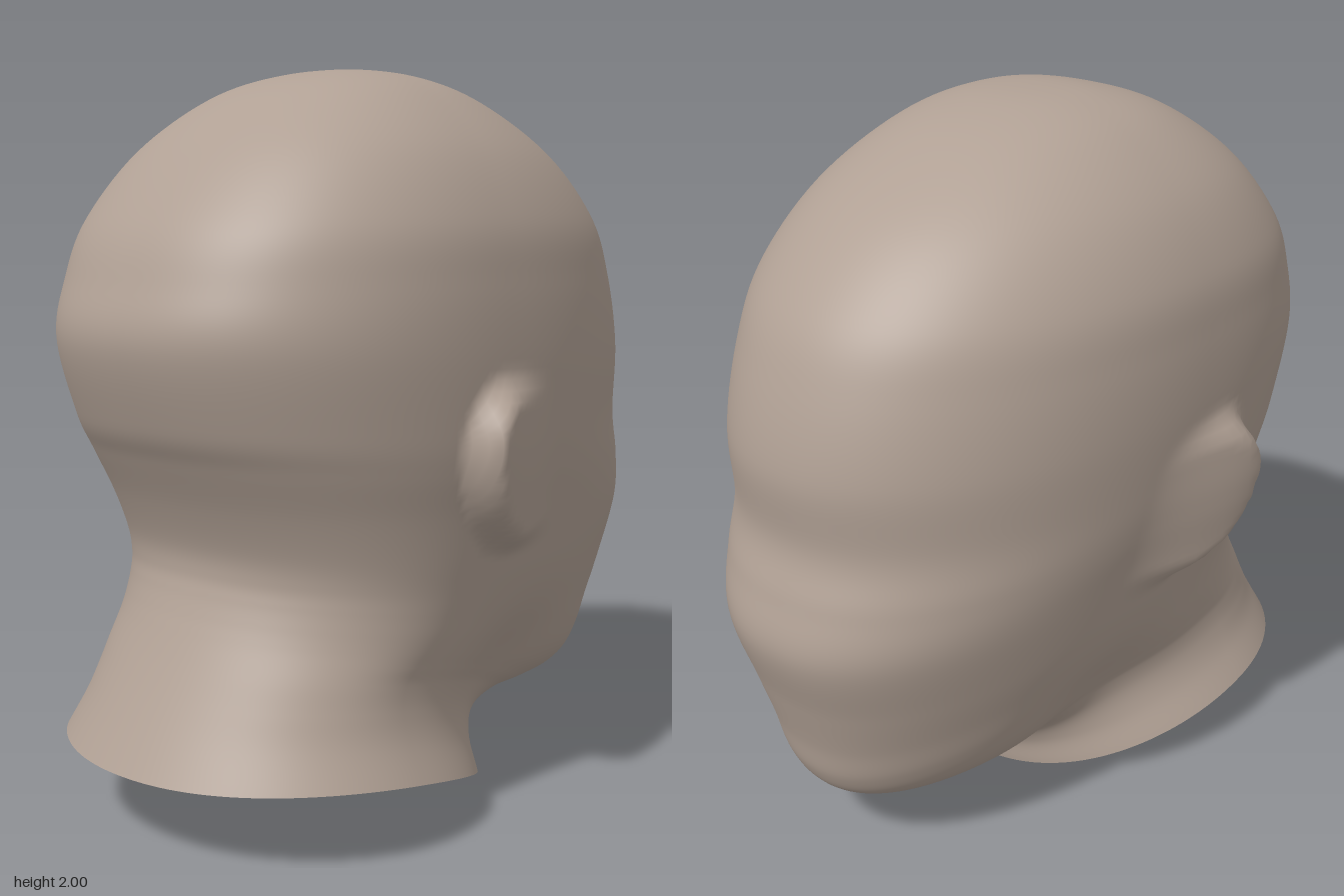
import * as THREE from 'three';

// Tilted rings of the head, from the neck opening to the crown:
// [nape z, nape y, face z, face y, half width, z of widest point, lift of the sides]
const RINGS = [
  [0.94, 0.22, -0.17, 0.00, 0.560, 0.42, 0.072],
  [0.883, 0.32, -0.19, 0.08, 0.510, 0.42, 0.07],
  [0.838, 0.40, -0.25, 0.14, 0.487, 0.42, 0.065],
  [0.80, 0.47, -0.38, 0.163, 0.480, 0.40, 0.065],
  [0.774, 0.52, -0.52, 0.163, 0.484, 0.36, 0.065],
  [0.754, 0.56, -0.67, 0.175, 0.490, 0.32, 0.06],
  [0.735, 0.60, -0.77, 0.215, 0.497, 0.28, 0.055],
  [0.715, 0.65, -0.82, 0.29, 0.505, 0.24, 0.045],
  [0.703, 0.70, -0.845, 0.40, 0.516, 0.20, 0.035],
  [0.71, 0.77, -0.885, 0.54, 0.532, 0.17, 0.02],
  [0.755, 0.88, -0.94, 0.73, 0.556, 0.14, 0.01],
  [0.82, 1.00, -0.912, 0.88, 0.580, 0.12, 0],
  [0.875, 1.10, -0.873, 1.02, 0.595, 0.10, 0],
  [0.935, 1.30, -0.885, 1.22, 0.607, 0.10, 0],
  [0.90, 1.45, -0.835, 1.43, 0.602, 0.10, 0],
  [0.828, 1.60, -0.75, 1.60, 0.577, 0.10, 0],
  [0.667, 1.78, -0.57, 1.775, 0.485, 0.10, 0],
  [0.46, 1.92, -0.32, 1.915, 0.335, 0.09, 0],
  [0.26, 1.985, -0.11, 1.982, 0.180, 0.08, 0],
  [0.08, 2.00, 0.08, 2.00, 0, 0.08, 0],
];
const ROWS = 150;
const SEGMENTS = 240;
const smooth = THREE.MathUtils.smoothstep;

// Catmull-Rom blend between rings; the crown is mirrored so that it ends flat
function ringAt(t) {
  const last = RINGS.length - 1;
  const i = Math.min(Math.floor(t), last - 1);
  const f = t - i;
  const m = RINGS[last - 1];
  const beyond = [m[2], m[3], m[0], m[1], -m[4], m[5], m[6]];
  const b = RINGS[i], d = RINGS[i + 1];
  const a = i > 0 ? RINGS[i - 1] : b.map((v, k) => 2 * v - d[k]);
  const e = i + 2 <= last ? RINGS[i + 2] : beyond;
  return b.map((v, k) => v + 0.5 * f * (d[k] - a[k]
    + f * (2 * a[k] - 5 * v + 4 * d[k] - e[k] + f * (3 * (v - d[k]) + e[k] - a[k]))));
}

// How far the ear stands out: a ramp rising to the back, with a steep rim,
// narrowing and leaning forward towards the lobe
function earHeight(y, z) {
  const dz = z - 0.09 - 0.25 * (y - 0.96);
  const q = Math.hypot(dz / (dz > 0 ? 0.19 : 0.4), (y - 0.96) / 0.235);
  const rim = 1 - smooth(q, 0.74, 1.08);
  return 0.095 * rim * smooth(dz, -0.22, 0.18);
}

function headPoint(t, angle) {
  const [bz, by, fz, fy, w, mz, lift] = ringAt(t);
  const c = Math.cos(angle), s = Math.sin(angle);
  // superellipse: round neck, squarer skull and cheeks
  const n = c > 0
    ? 2.1 + 0.3 * smooth(t, 4, 12)
    : 2.08 + 0.25 * Math.exp(-(((t - 10) / 2.5) ** 2));
  const cu = Math.sign(c) * Math.abs(c) ** (2 / n);
  const su = Math.sign(s) * Math.abs(s) ** (2 / n);
  let z = mz + cu * (c > 0 ? bz - mz : mz - fz);
  const span = bz - fz;
  const k = span > 1e-4 ? (z - fz) / span : 0.5;
  const y = fy + (by - fy) * k + lift * 4 * k * (1 - k);
  // soft hollow between jaw and neck
  const hollow = 0.11 * Math.exp(-(((z + 0.1) / 0.22) ** 2) - ((y - 0.36) / 0.14) ** 2);
  let x = w * su * (1 - hollow);
  // ears
  if (y > 0.65 && y < 1.3 && Math.abs(x) > 0.3) {
    const h = earHeight(y, z);
    x += Math.sign(x) * h;
    z += 0.25 * h;
  }
  return [x, y, z];
}

export function createModel() {
  const positions = [], indices = [];
  for (let r = 0; r <= ROWS; r++) {
    const t = (r / ROWS) * (RINGS.length - 1);
    for (let j = 0; j < SEGMENTS; j++) {
      positions.push(...headPoint(t, (j / SEGMENTS) * Math.PI * 2));
    }
  }
  for (let r = 0; r < ROWS; r++) {
    for (let j = 0; j < SEGMENTS; j++) {
      const a = r * SEGMENTS + j, b = r * SEGMENTS + ((j + 1) % SEGMENTS);
      const c = a + SEGMENTS, d = b + SEGMENTS;
      indices.push(a, b, d);
      // the last strip closes to a point at the crown
      if (r < ROWS - 1) indices.push(a, d, c);
    }
  }

  const geometry = new THREE.BufferGeometry();
  geometry.setAttribute('position', new THREE.Float32BufferAttribute(positions, 3));
  geometry.setIndex(indices);
  geometry.computeVertexNormals();

  const head = new THREE.Mesh(geometry, new THREE.MeshStandardMaterial({
    color: 0xb0a094, side: THREE.DoubleSide,
  }));
  head.name = 'head';
  const group = new THREE.Group();
  group.name = 'headBust';
  group.add(head);
  return group;
}
